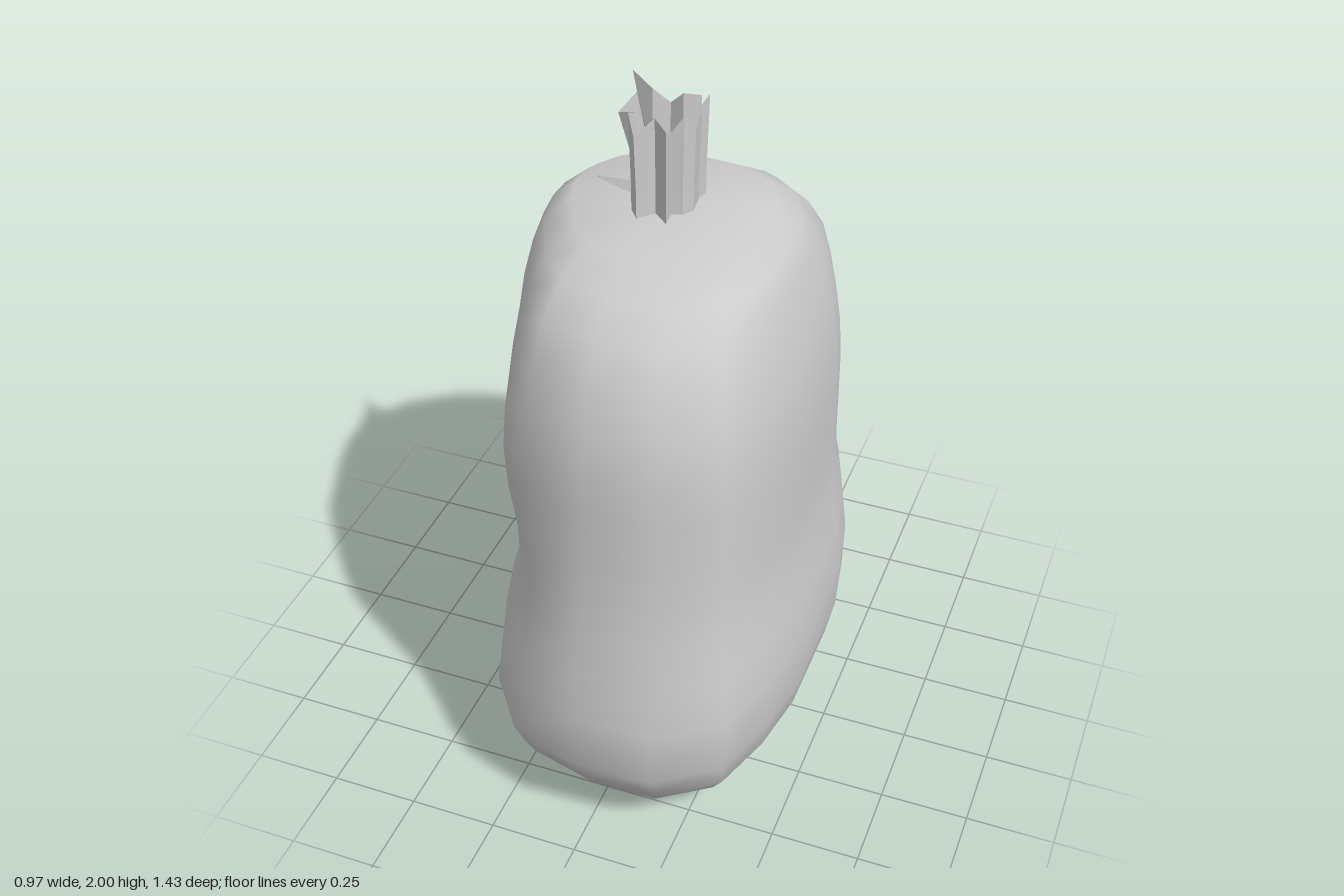
import * as THREE from 'three';

// Height, then the extents -x, +x, -z, +z of each cross-section
const SECTIONS = [
  [0.01, 0.25, 0.18, 0.18, 0.22],
  [0.025, 0.36, 0.28, 0.39, 0.35],
  [0.06, 0.43, 0.34, 0.52, 0.48],
  [0.12, 0.48, 0.40, 0.61, 0.60],
  [0.20, 0.485, 0.45, 0.68, 0.65],
  [0.32, 0.485, 0.475, 0.715, 0.72],
  [0.48, 0.45, 0.48, 0.70, 0.71],
  [0.62, 0.405, 0.465, 0.67, 0.69],
  [0.75, 0.375, 0.445, 0.63, 0.67],
  [0.87, 0.385, 0.44, 0.615, 0.655],
  [1.00, 0.42, 0.44, 0.605, 0.645],
  [1.12, 0.435, 0.44, 0.595, 0.637],
  [1.25, 0.42, 0.435, 0.565, 0.632],
  [1.37, 0.395, 0.42, 0.535, 0.605],
  [1.47, 0.38, 0.395, 0.505, 0.565],
  [1.57, 0.355, 0.365, 0.41, 0.51],
  [1.63, 0.325, 0.335, 0.33, 0.41],
  [1.685, 0.26, 0.27, 0.24, 0.30],
  [1.695, 0.07, 0.08, 0.05, 0.12],
];

// Sack outline from above, in units of those extents
const OUTLINE = [
  [0, -1], [0.46, -0.96], [0.78, -0.74], [0.93, -0.45], [1, -0.2], [1, 0.27],
  [0.93, 0.56], [0.8, 0.83], [0.46, 0.99], [0, 1], [-0.43, 0.91], [-0.68, 0.69],
  [-0.92, 0.26], [-1, 0], [-0.99, -0.22], [-0.91, -0.47], [-0.76, -0.71], [-0.46, -0.9],
];

// Pleated rim of the neck seen from above
const RIM = [
  [-0.12, -0.06], [-0.06, -0.04], [-0.02, -0.065], [0.02, -0.05], [0.06, -0.073],
  [0.06, -0.04], [0.088, -0.055], [0.08, -0.02], [0.09, 0.05], [0.07, 0.08],
  [0.04, 0.09], [0.045, 0.14], [0, 0.10], [-0.04, 0.14], [-0.07, 0.10],
  [-0.06, 0.06], [-0.12, 0.04], [-0.085, 0],
];

// Joins equal closed rings (bottom to top), with optional end points
function loft(rings, bottom, top) {
  const n = rings[0].length;
  const pos = rings.flat(2);
  const index = [];
  for (let r = 0; r < rings.length - 1; r++) {
    for (let i = 0; i < n; i++) {
      const a = r * n + i, b = r * n + (i + 1) % n;
      index.push(a, a + n, b, b, a + n, b + n);
    }
  }
  const cap = (point, start, up) => {
    const c = pos.length / 3;
    pos.push(...point);
    for (let i = 0; i < n; i++) {
      const a = start + i, b = start + (i + 1) % n;
      index.push(c, ...(up ? [b, a] : [a, b]));
    }
  };
  if (bottom) cap(bottom, 0, false);
  if (top) cap(top, (rings.length - 1) * n, true);
  const g = new THREE.BufferGeometry();
  g.setAttribute('position', new THREE.Float32BufferAttribute(pos, 3));
  g.setIndex(index);
  g.computeVertexNormals();
  return g;
}

export function createModel() {
  const group = new THREE.Group();
  const smooth = new THREE.MeshStandardMaterial({ color: 0xcccccc });
  const cloth = new THREE.MeshStandardMaterial({
    color: 0xcccccc, flatShading: true, side: THREE.DoubleSide,
  });
  const add = (name, geometry, material) => {
    const mesh = new THREE.Mesh(geometry, material);
    mesh.name = name;
    group.add(mesh);
  };

  // Soft, slumped sack
  const rings = SECTIONS.map(([y, l, r, b, f]) =>
    OUTLINE.map(([u, v]) => [u * (u < 0 ? l : r), y, v * (v < 0 ? b : f)]));
  add('sackBody', loft(rings, [-0.03, 0, 0.02], [0, 1.695, 0.03]), smooth);

  // Gathered neck, open at the top with a ragged rim
  const neckRing = (y, minX, scale, ragged) => RIM.map(([x, z], i) => [
    Math.max(x, minX) * scale,
    y + (ragged ? (i === 0 ? 0.05 : 0.025 * Math.sin(i * 2.3)) : 0),
    0.03 + (z - 0.03) * scale,
  ]);
  add('gatheredNeck', loft([
    neckRing(1.67, -0.07, 0.94, false),
    neckRing(1.76, -0.075, 0.94, false),
    neckRing(1.95, -0.12, 1, true),
  ]), cloth);

  // Small creases pulled out from the neck
  for (const [angle, length, height] of [[3.45, 0.18, 0.04], [4.3, 0.1, 0.02], [5.3, 0.09, 0.02]]) {
    const crease = new THREE.ConeGeometry(0.03, length, 4, 1, true);
    crease.rotateZ(-Math.PI / 2).translate(length / 2 + 0.05, 0, 0);
    crease.scale(1, height / 0.03, 1).rotateY(-angle).translate(0, 1.69, 0.03);
    add('neckCrease', crease, cloth);
  }
  return group;
}
